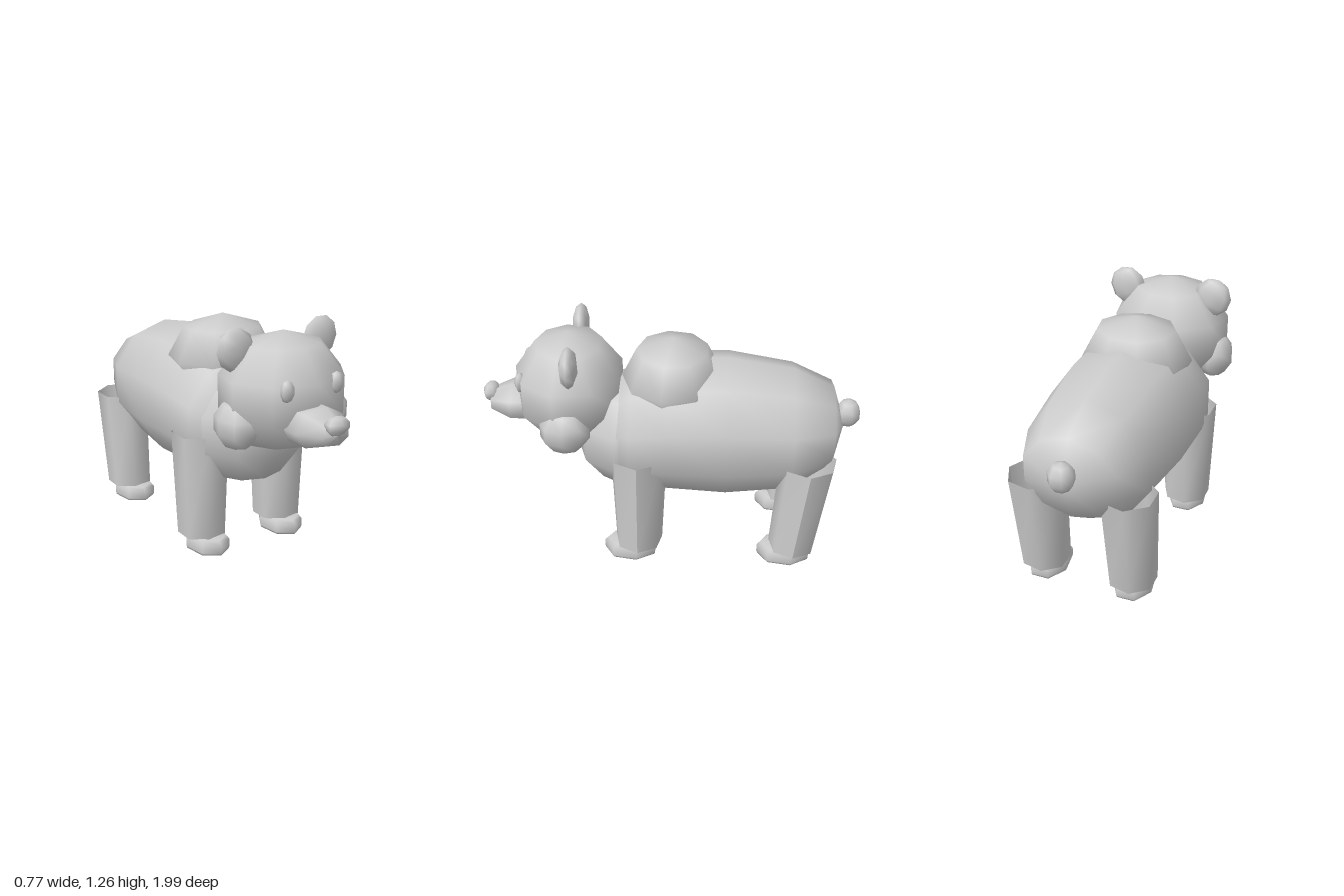
import * as THREE from 'three';
import { mergeVertices } from 'three/addons/utils/BufferGeometryUtils.js';

const grey = new THREE.MeshStandardMaterial({ color: 0xcccccc });
const greyOpen = new THREE.MeshStandardMaterial({ color: 0xcccccc, side: THREE.DoubleSide });

function add(parent, name, geometry, position = [0, 0, 0], material = grey) {
  const mesh = new THREE.Mesh(geometry, material);
  mesh.name = name;
  mesh.position.set(...position);
  parent.add(mesh);
  return mesh;
}

// Coarse ellipsoid with one meridian facing the front
function blob(rx, ry, rz, around = 9, rows = 5) {
  return new THREE.SphereGeometry(1, around, rows).rotateY(Math.PI / 2).scale(rx, ry, rz);
}

// Loft of ellipses along z; each section is [z, half width, top, bottom]
function loft(sections, n) {
  const positions = [], index = [];
  for (const [z, rx, top, bottom] of sections) {
    for (let i = 0; i < n; i++) {
      const a = (i / n) * Math.PI * 2;
      positions.push(rx * Math.sin(a), (top + bottom) / 2 + ((top - bottom) / 2) * Math.cos(a), z);
    }
  }
  for (let s = 0; s < sections.length - 1; s++) {
    for (let i = 0; i < n; i++) {
      const a = s * n + i, b = s * n + ((i + 1) % n);
      index.push(a, a + n, b, b, a + n, b + n);
    }
  }
  let g = new THREE.BufferGeometry();
  g.setAttribute('position', new THREE.Float32BufferAttribute(positions, 3));
  g.setIndex(index);
  g = mergeVertices(g, 1e-4);
  g.computeVertexNormals();
  return g;
}

// Tapered open leg whose lower end may sit further forward than its top
function legGeometry(rTop, rBottom, height, lean) {
  const g = new THREE.CylinderGeometry(rTop, rBottom, height, 7, 1, true, Math.PI / 2);
  const p = g.attributes.position;
  for (let i = 0; i < p.count; i++) {
    p.setZ(i, p.getZ(i) - (lean * p.getY(i)) / height);
  }
  g.computeVertexNormals();
  return g;
}

function footGeometry() {
  const profile = [[0, 0], [0.97, 0.018], [1, 0.03], [1, 0.072], [0.85, 0.093], [0, 0.1]];
  return new THREE.LatheGeometry(profile.map(([r, y]) => new THREE.Vector2(r, y)), 7)
    .scale(0.108, 1, 0.147);
}

export function createModel() {
  const bear = new THREE.Group();
  bear.name = 'bear';

  // Trunk
  add(bear, 'body', loft([
    [-0.92, 0, 0.73, 0.73], [-0.85, 0.25, 0.95, 0.52], [-0.64, 0.335, 1.05, 0.37],
    [-0.3, 0.375, 1.105, 0.335], [0, 0.385, 1.09, 0.36], [0.2, 0.355, 1.03, 0.37],
    [0.33, 0.25, 0.91, 0.48], [0.38, 0, 0.7, 0.7],
  ], 10));
  add(bear, 'chest', blob(0.32, 0.31, 0.29), [0, 0.67, 0.23]);
  add(bear, 'shoulderHump', blob(0.295, 0.22, 0.265, 9, 4), [0, 0.99, -0.01]);
  add(bear, 'tail', blob(0.07, 0.078, 0.068, 7, 5), [0, 0.795, -0.935]);

  // Head
  const head = new THREE.Group();
  head.name = 'head';
  bear.add(head);
  add(head, 'skull', blob(0.34, 0.3, 0.298), [0, 0.93, 0.53]);
  const snoutProfile = [[0, 0.55], [0.14, 0.7], [0.135, 0.84], [0.075, 0.95], [0, 0.965]];
  const snout = new THREE.LatheGeometry(snoutProfile.map(([r, z]) => new THREE.Vector2(r, z)), 7)
    .rotateX(Math.PI / 2).rotateZ(0.27).scale(1.08, 0.76, 1);
  add(head, 'snout', snout, [0, 0.825, 0]);
  add(head, 'nose', blob(0.07, 0.048, 0.045, 6, 5), [0, 0.87, 0.955]);

  // Paired parts
  for (const s of [1, -1]) {
    const side = s > 0 ? 'left' : 'right';
    add(head, side + 'Eye', blob(0.039, 0.055, 0.03, 6, 5), [s * 0.143, 1.005, 0.765]);
    add(head, side + 'Cheek', blob(0.105, 0.125, 0.135, 8, 5), [s * 0.265, 0.8, 0.53]);
    const ear = add(head, side + 'Ear', blob(0.105, 0.11, 0.047, 8, 5), [s * 0.248, 1.155, 0.495]);
    ear.rotation.z = -s * 0.35;

    add(bear, side + 'FrontLeg', legGeometry(0.152, 0.128, 0.565, 0.005), [s * 0.24, 0.372, 0.16], greyOpen);
    add(bear, side + 'HindLeg', legGeometry(0.148, 0.128, 0.545, 0.055), [s * 0.24, 0.362, -0.7], greyOpen);
    add(bear, side + 'FrontFoot', footGeometry(), [s * 0.237, 0, 0.205]);
    add(bear, side + 'HindFoot', footGeometry(), [s * 0.237, 0, -0.632]);
  }
  return bear;
}
